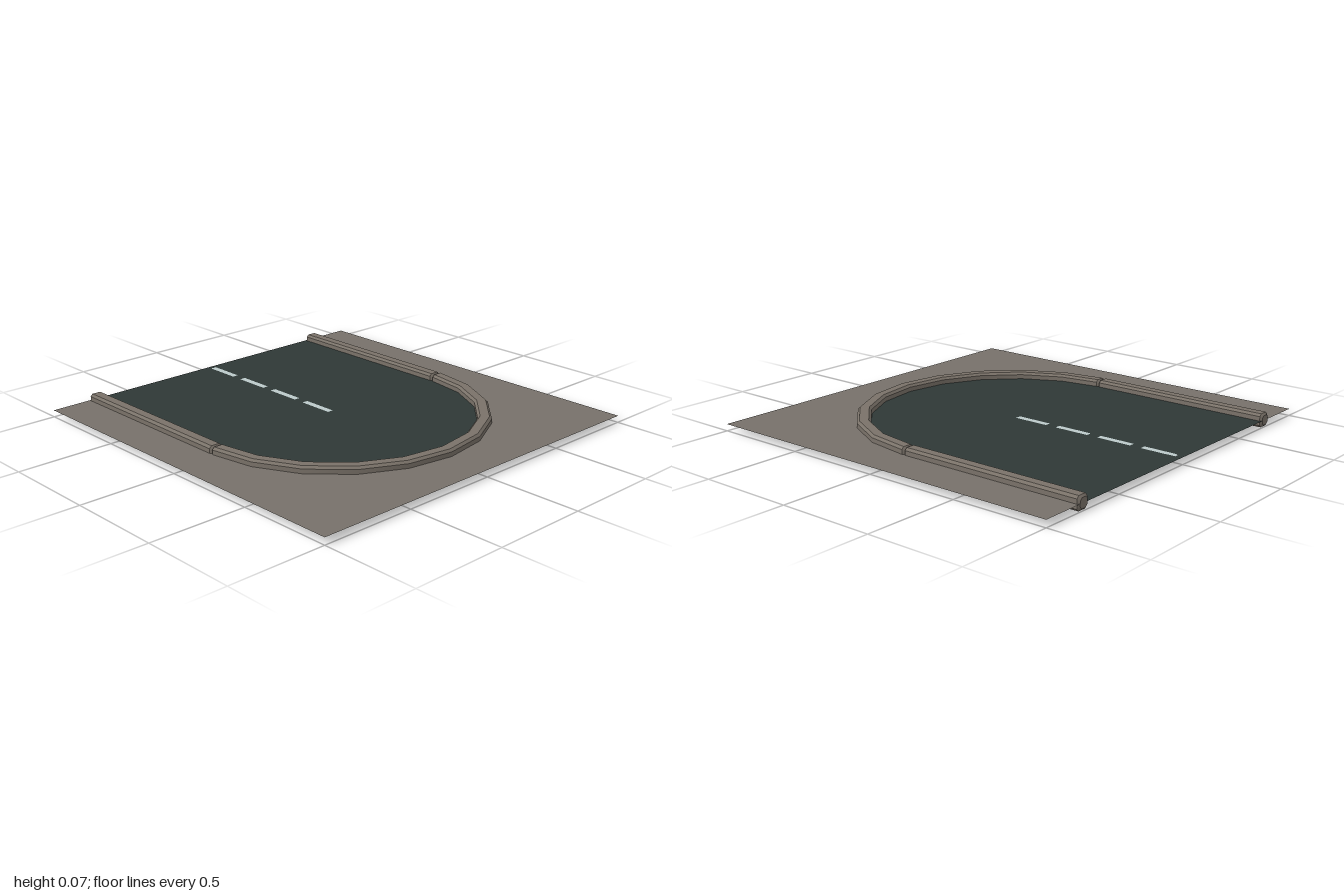
import * as THREE from 'three';
import { toCreasedNormals } from 'three/addons/utils/BufferGeometryUtils.js';

const LEVEL = 0.035; // height of the flat surfaces
const R = 0.75;      // kerb centre line
const HALF = 0.035;  // half width and half height of the kerb
const BEVEL = 0.012;

// Chamfered square section, (across, up)
function section(h) {
  const c = h - BEVEL;
  return [[h, -c], [h, c], [c, h], [-c, h], [-h, c], [-h, -c], [-c, -h], [c, -h]];
}

// Sweeps the section along stations { x, z, nx, nz, h }, n pointing outwards
function kerbGeometry(stations) {
  const pos = [], idx = [], n = 8;
  for (const s of stations) {
    for (const [a, u] of section(s.h)) pos.push(s.x + s.nx * a, LEVEL + u, s.z + s.nz * a);
  }
  for (let i = 0; i < stations.length - 1; i++) {
    for (let j = 0; j < n; j++) {
      const a = i * n + j, b = i * n + (j + 1) % n;
      idx.push(a, b, a + n, b, b + n, a + n);
    }
  }
  const last = (stations.length - 1) * n;
  for (let j = 1; j < n - 1; j++) {
    idx.push(0, j + 1, j, last, last + j, last + j + 1);
  }
  const g = new THREE.BufferGeometry();
  g.setAttribute('position', new THREE.Float32BufferAttribute(pos, 3));
  g.setIndex(idx);
  return toCreasedNormals(g, 0.6);
}

// Flat polygon from [x, z] corners
function flat(points) {
  const shape = new THREE.Shape(points.map(([x, z]) => new THREE.Vector2(x, -z)));
  return new THREE.ShapeGeometry(shape).rotateX(-Math.PI / 2).translate(0, LEVEL, 0);
}

export function createModel() {
  const group = new THREE.Group();
  const material = (name, color, side = THREE.FrontSide) => {
    const m = new THREE.MeshStandardMaterial({ color, side });
    m.name = name;
    return m;
  };
  const groundMat = material('ground', 0x77716a, THREE.DoubleSide);
  const roadMat = material('asphalt', 0x2e3836, THREE.DoubleSide);
  const paintMat = material('road paint', 0xbccaca, THREE.DoubleSide);
  const kerbMat = material('kerb stone', 0x7a7269);
  const add = (name, geometry, mat) => {
    const mesh = new THREE.Mesh(geometry, mat);
    mesh.name = name;
    group.add(mesh);
    return mesh;
  };

  // Half ring in ten straight steps, from +x round the front to -x
  const arc = [];
  for (let i = 0; i <= 10; i++) {
    const a = i * Math.PI / 10;
    arc.push([Math.cos(a), Math.sin(a)]);
  }
  const outline = [[R, -1], ...arc.map(([c, s]) => [R * c, R * s]), [-R, -1]];

  // Road and the ground around it
  add('road', flat(outline), roadMat);
  add('ground', flat([...outline, [-1, -1], [-1, 1], [1, 1], [1, -1]]), groundMat);

  // Dashed centre line
  for (let i = 0; i < 4; i++) {
    const dash = new THREE.PlaneGeometry(0.032, 0.19).rotateX(-Math.PI / 2);
    add('centreDash', dash, paintMat).position.set(0, LEVEL + 0.002, -0.875 + i * 0.25);
  }

  // Straight kerbs with bevelled ends
  const small = HALF - 0.01;
  for (const side of [1, -1]) {
    const ends = [[-1, small], [-0.99, HALF], [-0.01, HALF], [0, small]];
    const stations = ends.map(([z, h]) => ({ x: side * R, z, nx: 1, nz: 0, h }));
    add(side > 0 ? 'leftKerb' : 'rightKerb', kerbGeometry(stations), kerbMat);
  }

  // Curved kerb round the turning end
  const ring = arc.map(([c, s]) => ({ x: R * c, z: R * s, nx: c, nz: s, h: HALF }));
  ring[0].z = ring[10].z = 0.01;
  const curve = [{ ...ring[0], z: 0, h: small }, ...ring, { ...ring[10], z: 0, h: small }];
  add('curvedKerb', kerbGeometry(curve), kerbMat);

  return group;
}
